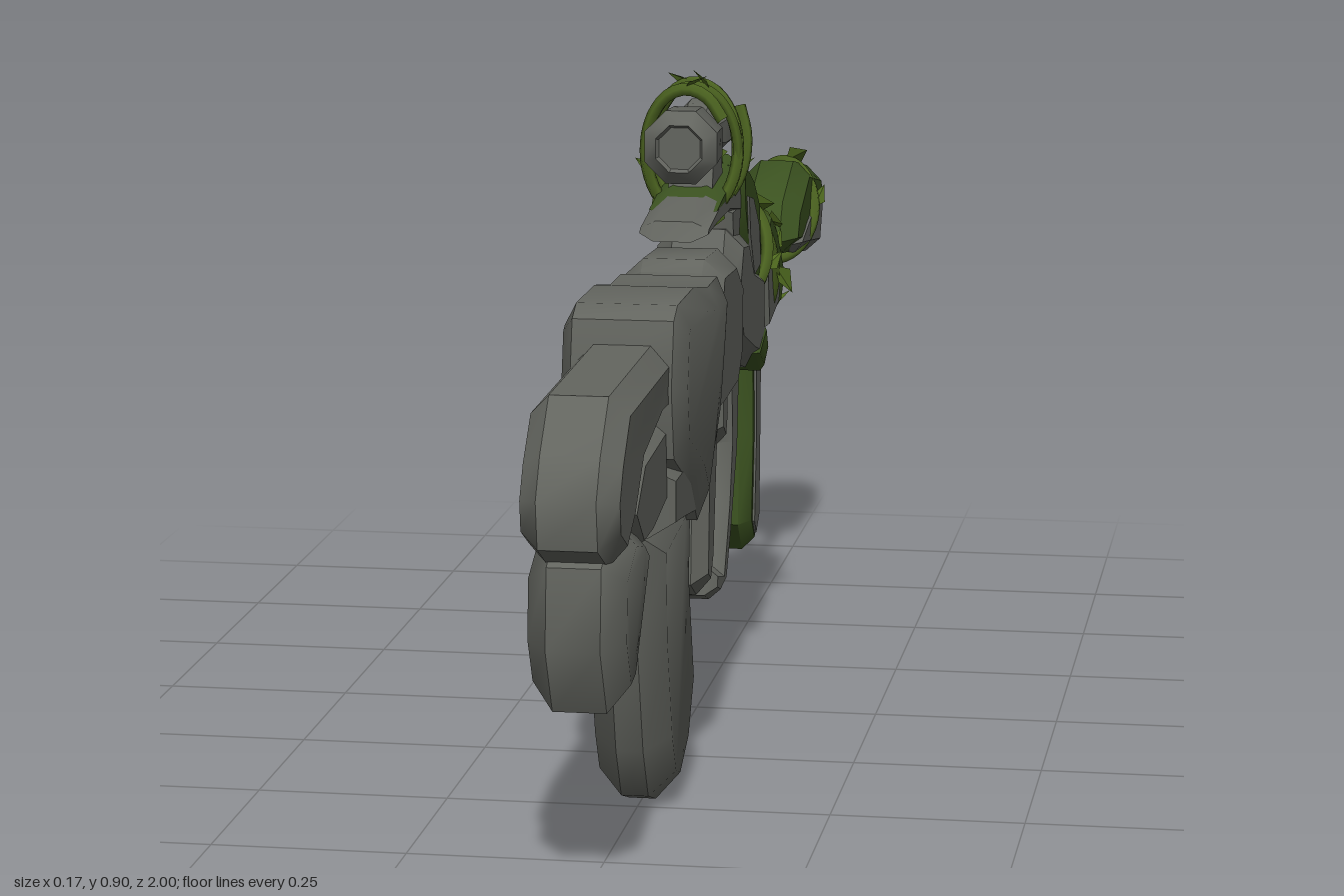
import * as THREE from 'three';
import { toCreasedNormals } from 'three/addons/utils/BufferGeometryUtils.js';

const mat = (name, color, side = THREE.FrontSide) => {
  const m = new THREE.MeshStandardMaterial({ color, side });
  m.name = name;
  return m;
};

export function createModel() {
  const group = new THREE.Group();
  const stone = mat('stone', 0x63655f);
  const moss = mat('moss', 0x3b5220);
  const vine = mat('vine', 0x4c6420);
  const leaf = mat('leaf', 0x4f6a1f, THREE.DoubleSide);

  const add = (name, geometry, material) => {
    const mesh = new THREE.Mesh(geometry, material);
    mesh.name = name;
    group.add(mesh);
    return mesh;
  };

  // Chamfered slab from a side outline of [z, y] points; w = half width,
  // inset = how far the flat sides are pulled in, flat = share of w kept full
  const rock = (name, outline, w, inset, flat = 0.5, material = stone) => {
    const shape = new THREE.Shape(outline.map(([z, y]) => new THREE.Vector2(-z, y)));
    const g = new THREE.ExtrudeGeometry(shape, {
      depth: 2 * w * flat, bevelEnabled: true, bevelSegments: 1,
      bevelThickness: w * (1 - flat), bevelSize: inset, bevelOffset: -inset,
    });
    g.translate(0, 0, -w * flat);
    g.rotateY(Math.PI / 2);
    return add(name, toCreasedNormals(g, 0.75), material);
  };

  // Stock
  rock('stock', [[1, 0.51], [0.97, 0.56], [0.91, 0.62], [0.58, 0.625], [0.56, 0.53], [0.66, 0.53],
    [0.79, 0.505], [0.85, 0.45], [0.92, 0.415], [0.99, 0.45]], 0.06, 0.025, 0.6);
  rock('stockBrace', [[0.86, 0.46], [0.77, 0.53], [0.58, 0.54], [0.57, 0.41], [0.7, 0.39], [0.78, 0.39]], 0.055, 0.025);
  rock('stockToe', [[0.95, 0.42], [0.96, 0.32], [0.915, 0.235], [0.85, 0.245], [0.785, 0.32],
    [0.72, 0.4], [0.78, 0.44], [0.86, 0.46]], 0.06, 0.03, 0.55);

  // Main body and magazine
  rock('body', [[0.62, 0.57], [0.6, 0.655], [0.57, 0.67], [0.44, 0.67], [0.32, 0.65], [0.24, 0.65], [0.22, 0.62],
    [0.25, 0.55], [0.29, 0.47], [0.35, 0.42], [0.41, 0.36], [0.47, 0.42], [0.6, 0.48]], 0.08, 0.03, 0.8);
  rock('magazineCollar', [[0.61, 0.47], [0.61, 0.38], [0.52, 0.37], [0.41, 0.355], [0.4, 0.41], [0.48, 0.47]], 0.065, 0.02);
  rock('magazine', [[0.61, 0.385], [0.6, 0.23], [0.56, 0.09], [0.52, 0.02], [0.46, 0], [0.37, 0.04],
    [0.31, 0.13], [0.355, 0.28], [0.345, 0.41], [0.42, 0.4]], 0.05, 0.035, 0.35);

  // Receiver
  rock('receiverFront', [[0.3, 0.46], [0.25, 0.56], [0.22, 0.65], [0.2, 0.665], [0.08, 0.66], [0, 0.61],
    [0.01, 0.5], [0.06, 0.455], [0.2, 0.45]], 0.068, 0.025, 0.6);
  rock('receiverRear', [[0.03, 0.58], [-0.02, 0.67], [-0.1, 0.66], [-0.15, 0.61], [-0.26, 0.58], [-0.27, 0.47],
    [-0.22, 0.44], [-0.14, 0.46], [-0.02, 0.5]], 0.06, 0.025, 0.6);
  rock('receiverKnob', [[0.07, 0.46], [0.01, 0.49], [-0.005, 0.42], [0.02, 0.37], [0.07, 0.4]], 0.045, 0.018);
  rock('receiverMoss', [[-0.17, 0.47], [-0.25, 0.5], [-0.275, 0.46], [-0.225, 0.435]], 0.062, 0.008, 0.9, moss);

  // Hanging grips
  rock('frontGrip', [[0.17, 0.47], [0.18, 0.34], [0.19, 0.22], [0.14, 0.195], [0.105, 0.24], [0.08, 0.36], [0.06, 0.47]],
    0.042, 0.02, 0.5);
  rock('curvedGrip', [[-0.07, 0.48], [-0.08, 0.36], [-0.055, 0.28], [-0.01, 0.2], [0.055, 0.215], [0.062, 0.175],
    [0.02, 0.16], [-0.045, 0.165], [-0.09, 0.23], [-0.15, 0.34], [-0.17, 0.48]], 0.036, 0.014, 0.55);
  rock('curvedGripMoss', [[-0.12, 0.47], [-0.135, 0.34], [-0.085, 0.24], [-0.095, 0.225], [-0.156, 0.34], [-0.18, 0.47]],
    0.022, 0.003, 0.9, moss);
  rock('rearGrip', [[-0.275, 0.5], [-0.283, 0.33], [-0.268, 0.2], [-0.31, 0.155], [-0.365, 0.19], [-0.375, 0.32], [-0.385, 0.5]],
    0.036, 0.014, 0.5, moss);
  rock('rearGripFace', [[-0.3, 0.49], [-0.305, 0.32], [-0.288, 0.2], [-0.31, 0.175], [-0.345, 0.2], [-0.352, 0.32], [-0.36, 0.49]],
    0.039, 0.004, 0.6);

  // Mossy shoulder behind the sight
  rock('shoulder', [[-0.08, 0.75], [-0.13, 0.755], [-0.2, 0.725], [-0.26, 0.68], [-0.28, 0.6], [-0.26, 0.55],
    [-0.17, 0.56], [-0.12, 0.63], [-0.09, 0.68]], 0.052, 0.018, 0.6, moss);
  rock('shoulderFace', [[-0.11, 0.71], [-0.17, 0.7], [-0.23, 0.65], [-0.25, 0.58], [-0.17, 0.57], [-0.125, 0.64]], 0.055, 0.01, 0.6);

  // Sight and its mount
  rock('sightMount', [[0.215, 0.69], [0.2, 0.715], [0, 0.745], [-0.14, 0.75], [-0.13, 0.67], [0, 0.69], [0.12, 0.69]],
    0.046, 0.012, 0.55);
  rock('mountMoss', [[0.14, 0.715], [0.06, 0.742], [-0.13, 0.758], [-0.13, 0.7], [0.02, 0.705]], 0.046, 0.014, 0.5, moss);
  rock('sightPost', [[0.07, 0.72], [0.05, 0.79], [-0.03, 0.79], [-0.05, 0.72]], 0.03, 0.008);
  rock('mountFoot', [[-0.02, 0.7], [-0.03, 0.64], [-0.1, 0.64], [-0.12, 0.7]], 0.045, 0.01);
  const sight = new THREE.LatheGeometry([[0, -0.075], [0.03, -0.075], [0.042, -0.06], [0.04, -0.02], [0.034, 0],
    [0.036, 0.055], [0.05, 0.075], [0.053, 0.14], [0.034, 0.157], [0.03, 0.15], [0, 0.15]]
    .map(([r, y]) => new THREE.Vector2(r, y)), 8);
  sight.rotateX(Math.PI / 2).rotateZ(Math.PI / 8).translate(0, 0.805, 0);
  add('sight', toCreasedNormals(sight, 0.6), stone);

  // Barrel block and muzzle, moss above and bare stone below
  rock('barrelBlock', [[-0.26, 0.6], [-0.34, 0.665], [-0.42, 0.625], [-0.52, 0.53], [-0.46, 0.475], [-0.29, 0.465]],
    0.055, 0.025, 0.45, moss);
  rock('barrelFace', [[-0.262, 0.59], [-0.33, 0.63], [-0.4, 0.595], [-0.44, 0.53], [-0.42, 0.485], [-0.29, 0.463]], 0.058, 0.022, 0.45);
  rock('muzzle', [[-0.64, 0.55], [-0.68, 0.605], [-0.8, 0.65], [-0.96, 0.62], [-0.995, 0.56], [-0.92, 0.495], [-0.66, 0.53]],
    0.05, 0.024, 0.5, moss);
  const face = rock('muzzleFace', [[-0.67, 0.54], [-0.76, 0.575], [-0.9, 0.605], [-0.965, 0.57], [-0.92, 0.492], [-0.78, 0.511]],
    0.047, 0.02, 0.5);
  face.position.x = 0.006;

  // Centre line of the rear half: z, y, x radius, y radius
  const axis = [[-0.08, 0.7, 0.054, 0.07], [-0.2, 0.64, 0.058, 0.1], [-0.3, 0.57, 0.062, 0.1], [-0.4, 0.55, 0.06, 0.08],
    [-0.5, 0.52, 0.03, 0.03], [-0.56, 0.51, 0.014, 0.014], [-0.65, 0.55, 0.03, 0.03], [-0.8, 0.575, 0.056, 0.075], [-1, 0.56, 0.05, 0.06]];
  const rear = (z) => {
    let i = 0;
    while (i < axis.length - 2 && z < axis[i + 1][0]) i++;
    const t = (z - axis[i][0]) / (axis[i + 1][0] - axis[i][0]);
    return [1, 2, 3].map((k) => THREE.MathUtils.lerp(axis[i][k], axis[i + 1][k], t));
  };
  const sightRing = () => [0.785, 0.06, 0.09];

  // Folded leaf pointing along +z
  const leafGeometry = new THREE.BufferGeometry();
  leafGeometry.setAttribute('position', new THREE.Float32BufferAttribute(
    [0, 0, 0, 0.014, 0.006, 0.018, 0, 0, 0.048, 0, 0, 0, 0, 0, 0.048, -0.014, 0.006, 0.018], 3));
  leafGeometry.computeVertexNormals();

  // Vine wound about a centre line, with leaves along it
  const wind = (name, around, z0, z1, turns, phase, radius, leaves) => {
    const n = Math.ceil(Math.abs(turns) * 10) + 6, pts = [];
    for (let i = 0; i <= n; i++) {
      const z = THREE.MathUtils.lerp(z0, z1, i / n), a = phase + turns * Math.PI * 2 * i / n;
      const [y, rx, ry] = around(z);
      pts.push(new THREE.Vector3(Math.cos(a) * rx, y + Math.sin(a) * ry, z));
    }
    const curve = new THREE.CatmullRomCurve3(pts);
    add(name, new THREE.TubeGeometry(curve, n * 3, radius, 5), vine);
    for (let i = 0; i < leaves; i++) {
      const t = (i + 0.5) / leaves, p = curve.getPoint(t);
      const out = new THREE.Vector3(p.x * 0.35, p.y - around(p.z)[0], 0).normalize().multiplyScalar(0.45);
      const m = add(name + 'Leaf', leafGeometry, leaf);
      m.position.copy(p);
      m.lookAt(p.clone().add(curve.getTangent(t).multiplyScalar(i % 2 ? 1 : -1)).add(out));
      m.rotateZ(i * 1.3);
      m.scale.setScalar(0.8 + 0.3 * Math.sin(i * 2.1));
    }
  };
  wind('sightVine', sightRing, 0.09, -0.06, 2, 0.6, 0.009, 6);
  wind('sightVineThin', sightRing, 0.05, -0.02, -1, 2.2, 0.007, 3);
  wind('barrelVine', rear, -0.08, -0.62, 2.5, 1, 0.01, 11);
  wind('barrelVineThin', rear, -0.24, -0.56, -1.3, 2.5, 0.008, 5);
  wind('linkVine', rear, -0.46, -0.72, 1, 3, 0.009, 6);
  wind('muzzleVine', rear, -0.62, -0.96, 1.4, 1.2, 0.009, 6);

  return group;
}
